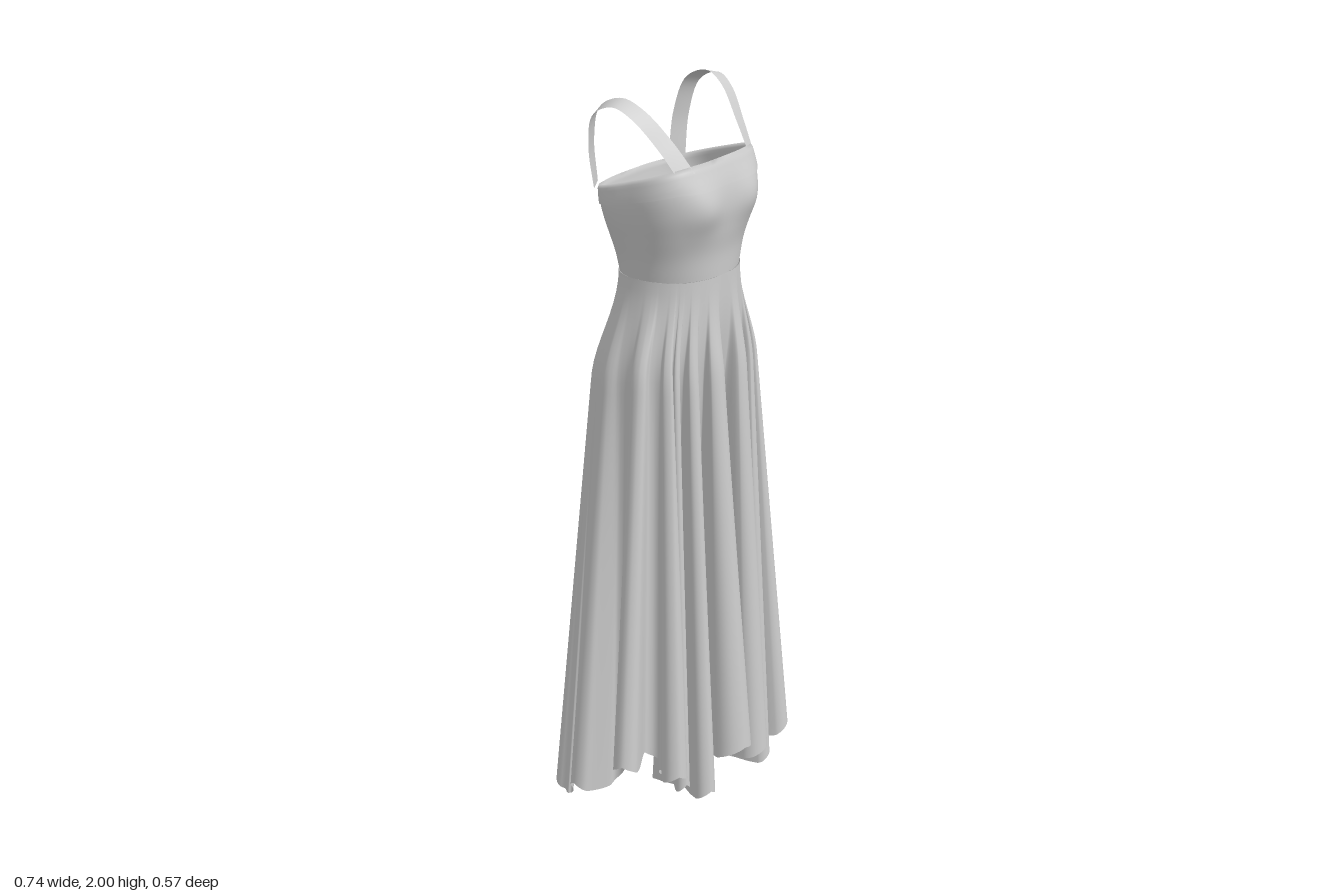
import * as THREE from 'three';

const WAIST = 1.53;
const { lerp, smoothstep } = THREE.MathUtils;

// Smooth surface from fn(u, v) -> [x, y, z]; optionally closed around u.
function surface(nu, nv, closed, fn) {
  const cols = closed ? nu : nu + 1;
  const pos = [], index = [];
  for (let j = 0; j <= nv; j++)
    for (let i = 0; i < cols; i++) pos.push(...fn(i / nu, j / nv));
  for (let j = 0; j < nv; j++)
    for (let i = 0; i < nu; i++) {
      const k = (i + 1) % cols;
      const a = j * cols + i, b = j * cols + k, c = a + cols, d = b + cols;
      index.push(a, c, b, b, c, d);
    }
  const g = new THREE.BufferGeometry();
  g.setAttribute('position', new THREE.Float32BufferAttribute(pos, 3));
  g.setIndex(index);
  g.computeVertexNormals();
  return g;
}

// Rounded body outline with separate front and back depths.
function ring(angle, side, front, back, n) {
  const c = Math.cos(angle), s = Math.sin(angle);
  const p = (t) => Math.sign(t) * Math.pow(Math.abs(t), 2 / n);
  return [side * p(c), (s > 0 ? front : back) * p(s)];
}

// Bodice measurements from waist to neckline: side, front, back.
const bodiceSizes = new THREE.CatmullRomCurve3([
  [0.168, 0.155, 0.12], [0.176, 0.158, 0.123], [0.188, 0.168, 0.13],
  [0.2, 0.174, 0.138], [0.206, 0.167, 0.145], [0.201, 0.145, 0.15],
].map((p) => new THREE.Vector3(...p)), false, 'catmullrom');

function bodicePoint(u, v, offset = 0) {
  const angle = u * Math.PI * 2;
  const m = bodiceSizes.getPoint(v);
  let [x, z] = ring(angle, m.x + offset, m.y + offset, m.z + offset, lerp(2.2, 3.2, v));
  if (z > 0) {
    const bump = Math.exp(-(((Math.abs(x) - 0.095) / 0.06) ** 2) - ((v - 0.62) / 0.2) ** 2);
    z += 0.017 * bump * Math.min(1, z / 0.1);
  }
  const top = 1.795 + 0.045 * THREE.MathUtils.clamp(z / 0.14, -1, 1);
  return [x, lerp(WAIST, top, v), z];
}

// Skirt folds at the hem: outer turn x, z, radius, height, then the following inner turn x, z, radius.
const folds = [
  [-0.115, -0.268, 0.036, 0.13, -0.073, -0.095, 0.027],
  [-0.025, -0.288, 0.05, 0.2, 0.013, -0.072, 0.04],
  [0.07, -0.278, 0.042, 0.17, 0.09, -0.105, 0.025],
  [0.135, -0.228, 0.028, 0.05, 0.155, -0.12, 0.02],
  [0.235, -0.218, 0.042, 0.01, 0.175, -0.09, 0.026],
  [0.287, -0.075, 0.042, 0.06, 0.23, 0.005, 0.024],
  [0.37, 0.07, 0.034, 0.22, 0.175, 0.085, 0.026],
  [0.25, 0.21, 0.035, 0.12, 0.125, 0.08, 0.022],
  [0.17, 0.206, 0.028, 0.05, 0.072, 0.018, 0.03],
  [0.075, 0.261, 0.045, 0.13, 0.007, 0.006, 0.03],
  [-0.052, 0.286, 0.055, 0.2, -0.055, 0.06, 0.026],
  [-0.138, 0.233, 0.03, 0.08, -0.118, 0.026, 0.032],
  [-0.178, 0.18, 0.02, 0.1, -0.165, 0.085, 0.02],
  [-0.25, 0.21, 0.035, 0.17, -0.18, 0.065, 0.024],
  [-0.37, 0.11, 0.034, 0.22, -0.255, 0.012, 0.024],
  [-0.35, -0.08, 0.036, 0.09, -0.285, -0.14, 0.012],
  [-0.26, -0.222, 0.034, 0.02, -0.15, -0.11, 0.024],
];

// Hem line with round turns, plus the body angle each fold hangs from.
function makeHem() {
  const turns = [], angles = [];
  for (const [x, z, r, , vx, vz, vr] of folds) {
    turns.push({ p: new THREE.Vector2(x, z), r }, { p: new THREE.Vector2(vx, vz), r: vr });
    let a = Math.atan2(z, x);
    while (angles.length && a < angles[angles.length - 1]) a += Math.PI * 2;
    angles.push(a);
  }
  angles.push(angles[0] + Math.PI * 2);
  const pts = [];
  turns.forEach(({ p, r }, i) => {
    const prev = turns[(i + turns.length - 1) % turns.length].p;
    const next = turns[(i + 1) % turns.length].p;
    const d = prev.clone().add(next).multiplyScalar(0.5).sub(p).normalize();
    const n = next.clone().sub(prev);
    n.addScaledVector(d, -n.dot(d)).normalize();
    for (let k = -2; k <= 2; k++) {
      const t = k * Math.PI / 4;
      const q = p.clone().addScaledVector(d, r * (1 - Math.cos(t))).addScaledVector(n, r * Math.sin(t));
      pts.push(new THREE.Vector3(q.x, 0, q.y));
    }
  });
  pts.push(...pts.splice(0, 2)); // begin at the first outer turn
  const curve = new THREE.CatmullRomCurve3(pts, true, 'centripetal');
  return (u) => {
    const f = u * folds.length, i = Math.floor(f), t = f - i;
    const point = curve.getPoint(u);
    // Inner turns hang a little lower than the outer ones.
    const height = lerp(folds[i][3], folds[(i + 1) % folds.length][3], smoothstep(t, 0.1, 0.9));
    point.y = Math.max(0, height - 0.045 * Math.sin(Math.PI * t));
    return { point, angle: lerp(angles[i], angles[i + 1], t) };
  };
}

function skirtGeometry() {
  const hem = makeHem();
  const count = folds.length * 40;
  const samples = Array.from({ length: count }, (_, i) => hem(i / count));
  return surface(count, 48, true, (u, v) => {
    const { point, angle } = samples[Math.round(u * count)];
    const s = 1 - v;
    const hip = smoothstep(s, 0, 0.19);
    const [bx, bz] = ring(angle, 0.168 + 0.046 * hip, 0.155 + 0.008 * hip, 0.12 + 0.045 * hip, 2.3);
    const w = s * smoothstep(s, -0.01, 0.2);
    return [lerp(bx, point.x, w), lerp(WAIST, point.y, s), lerp(bz, point.z, w)];
  });
}

// Flat ribbon from the front neckline over the shoulder to the back, turning with the body.
function strapGeometry(side) {
  const path = new THREE.CatmullRomCurve3([
    [0.132, 1.815, 0.143], [0.152, 1.89, 0.09], [0.18, 1.965, 0.025], [0.193, 1.991, -0.03],
    [0.195, 1.96, -0.098], [0.183, 1.87, -0.126], [0.166, 1.755, -0.127],
  ].map(([x, y, z]) => new THREE.Vector3(x * side, y, z)));
  return surface(40, 4, false, (u, v) => {
    const p = path.getPoint(u), t = path.getTangent(u);
    const across = new THREE.Vector3(side, -0.3, lerp(-0.35, 0.55, u));
    across.addScaledVector(t, -across.dot(t)).normalize();
    p.addScaledVector(across, (v - 0.5) * 0.048);
    return [p.x, p.y, p.z];
  });
}

export function createModel() {
  const fabric = new THREE.MeshStandardMaterial({ color: 0xcccccc, side: THREE.DoubleSide });
  fabric.name = 'greyFabric';
  const dress = new THREE.Group();
  dress.name = 'dress';
  const add = (name, geometry) => {
    const mesh = new THREE.Mesh(geometry, fabric);
    mesh.name = name;
    dress.add(mesh);
  };

  add('skirt', skirtGeometry());
  add('bodice', surface(128, 28, true, (u, v) => bodicePoint(u, v)));
  // Band folded over the neckline, outside then inside.
  add('neckBand', surface(128, 12, true, (u, v) => {
    const h = 1 - Math.abs(v - 0.5) * 2;
    return bodicePoint(u, lerp(0.79, 1, h), 0.003 * Math.sign(0.5 - v));
  }));
  add('leftStrap', strapGeometry(1));
  add('rightStrap', strapGeometry(-1));
  return dress;
}
